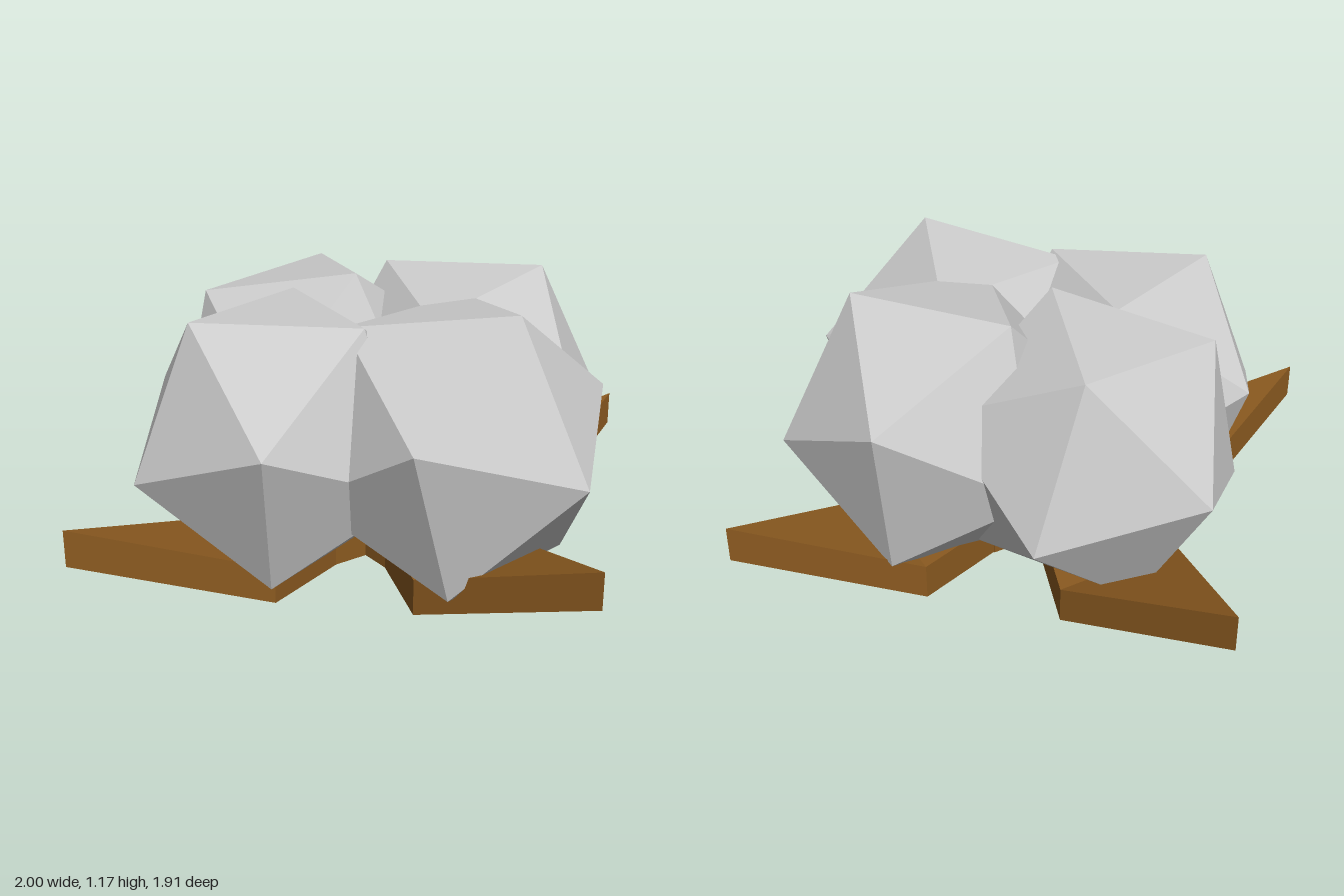
import * as THREE from 'three';

const V = (x, y, z) => new THREE.Vector3(x, y, z);
const grey = new THREE.MeshStandardMaterial({ color: 0xcccccc, flatShading: true });
const brown = new THREE.MeshStandardMaterial({ color: 0x8b5a20, flatShading: true });

// Frame of a triangle: centroid, outward normal and the direction to its first corner
function faceFrame(a, b, c) {
  const mid = V(0, 0, 0).add(a).add(b).add(c).divideScalar(3);
  const n = b.clone().sub(a).cross(c.clone().sub(a)).normalize();
  const u = a.clone().sub(mid).normalize();
  const v = n.clone().cross(u).normalize();
  return { mid, n, basis: new THREE.Matrix4().makeBasis(u, v, n) };
}

// Icosahedron fluff ball turned so that one face lies on the triangle a, b, c
function fluffBall(name, a, b, c) {
  const edge = (a.distanceTo(b) + b.distanceTo(c) + c.distanceTo(a)) / 3;
  const geo = new THREE.IcosahedronGeometry(edge * 0.9511, 0);
  const pos = geo.getAttribute('position');
  const from = faceFrame(...[0, 1, 2].map(i => V(0, 0, 0).fromBufferAttribute(pos, i)));
  const to = faceFrame(a, b, c);
  geo.applyMatrix4(to.basis.clone().multiply(from.basis.clone().transpose()));
  const mesh = new THREE.Mesh(geo, grey);
  mesh.name = name;
  mesh.position.copy(to.mid).addScaledVector(to.n, -0.7558 * edge);
  return mesh;
}

// Flat plate with its outline in x/z, raised past the fold by a linear slope
function plate(name, outline, thickness, fold, slope) {
  const shape = new THREE.Shape(outline.map(([x, z]) => new THREE.Vector2(x, z)));
  const geo = new THREE.ExtrudeGeometry(shape, { depth: thickness, bevelEnabled: false });
  geo.rotateX(-Math.PI / 2);
  const pos = geo.getAttribute('position');
  for (let i = 0; i < pos.count; i++) {
    pos.setY(i, pos.getY(i) + Math.max(0, pos.getX(i) - fold) * slope);
  }
  geo.computeVertexNormals();
  const mesh = new THREE.Mesh(geo, brown);
  mesh.name = name;
  return mesh;
}

// Husk leaf: flat inner part and a pointed outer part that bends up
function leaf(name, tipX, tipZ) {
  const g = new THREE.Group();
  g.name = name;
  const len = Math.hypot(tipX, tipZ), fold = 0.65, w = 0.28;
  g.add(plate('leafInner', [[0.26, -0.13], [fold, -w], [fold, w], [0.26, 0.13]], 0.15, fold, 0));
  g.add(plate('leafTip', [[fold, -w], [len, 0], [fold, w]], 0.15, fold, 0.25 / (len - fold)));
  g.rotation.y = Math.atan2(-tipZ, tipX);
  return g;
}

export function createModel() {
  const model = new THREE.Group();
  model.name = 'cottonBoll';

  // Four fluff balls
  model.add(
    fluffBall('frontRightFluff', V(-0.61, 1.10, 0.55), V(-0.81, 0.48, 0.70), V(-0.24, 0.72, 0.94)),
    fluffBall('frontLeftFluff', V(0.63, 1.17, 0.49), V(0.30, 0.77, 0.93), V(0.91, 0.58, 0.69)),
    fluffBall('backRightFluff', V(-0.08, 1.16, -0.06), V(-0.35, 1.09, -0.67), V(-0.75, 1.04, -0.13)),
    fluffBall('backLeftFluff', V(-0.01, 1.14, -0.39), V(0.67, 1.16, -0.32), V(0.40, 0.84, -0.84)),
  );

  // Four husk leaves on the diagonals
  model.add(
    leaf('frontRightLeaf', -1.0, 0.955),
    leaf('frontLeftLeaf', 0.975, 0.955),
    leaf('backRightLeaf', -0.98, -0.96),
    leaf('backLeftLeaf', 0.995, -0.92),
  );

  // Crossed bars joining the leaves
  for (const s of [-1, 1]) {
    const bar = new THREE.Mesh(new THREE.BoxGeometry(0.56, 0.1, 0.26), brown);
    bar.name = 'baseBar';
    bar.position.y = 0.05;
    bar.rotation.y = s * Math.PI / 4;
    model.add(bar);
  }
  return model;
}
